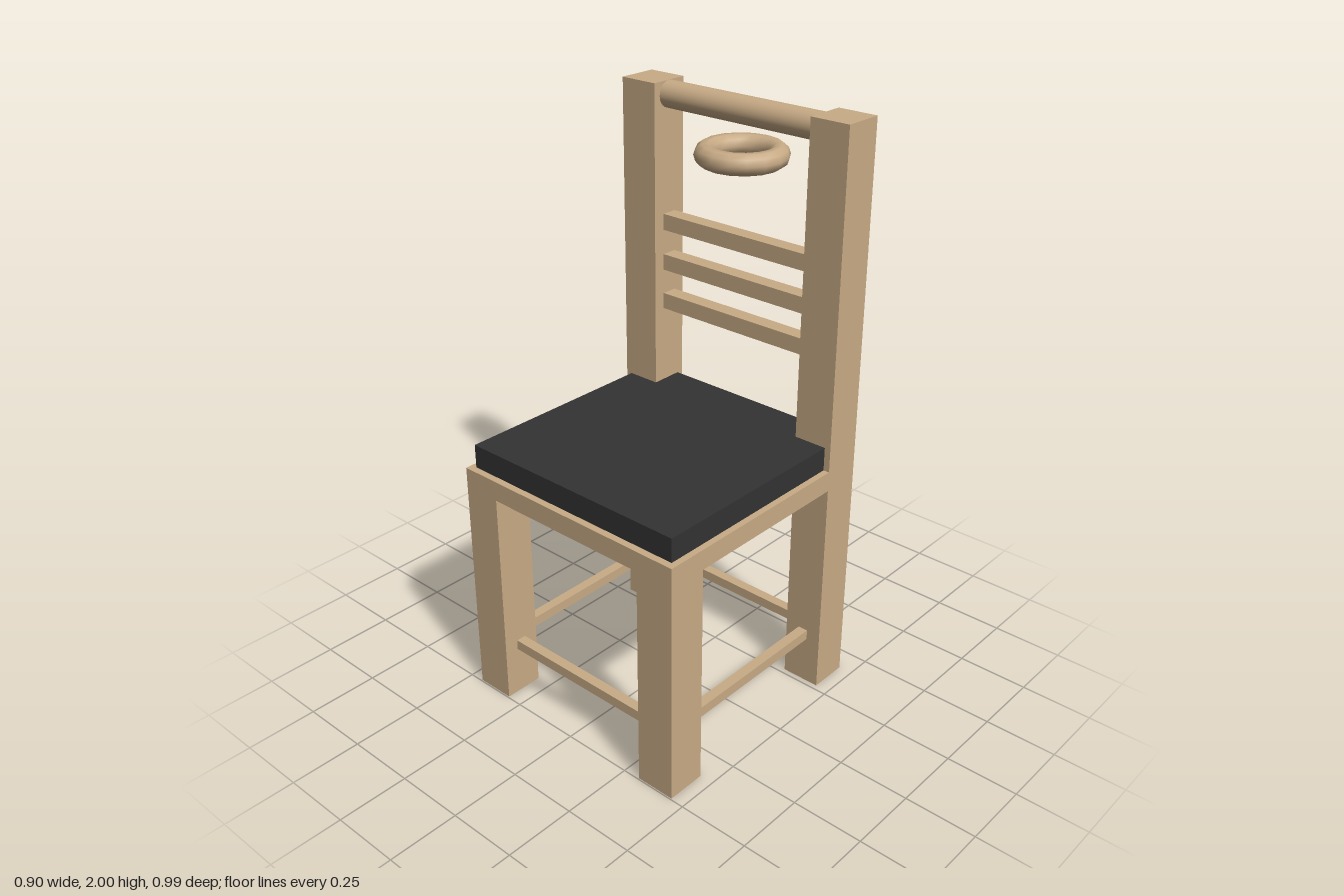
import * as THREE from 'three';

export function createModel() {
  const chair = new THREE.Group();
  chair.name = 'chair';
  const wood = new THREE.MeshStandardMaterial({ color: 0xc8ab86 });
  const fabric = new THREE.MeshStandardMaterial({ color: 0x333333 });

  const add = (name, geometry, x, y, z, material = wood) => {
    const mesh = new THREE.Mesh(geometry, material);
    mesh.name = name;
    mesh.position.set(x, y, z);
    chair.add(mesh);
    return mesh;
  };
  const box = (name, w, h, d, x, y, z, material) =>
    add(name, new THREE.BoxGeometry(w, h, d), x, y, z, material);

  const legX = 0.38, frontZ = 0.425, backZ = -0.34, leg = 0.14;
  const gapX = 2 * legX - leg, gapZ = frontZ - backZ - leg;
  const midZ = (frontZ + backZ) / 2;

  // Legs, with the back pair rising as posts, and side stretchers
  for (const [side, s] of [['left', 1], ['right', -1]]) {
    box(side + 'FrontLeg', leg, 0.86, leg, s * legX, 0.43, frontZ);
    box(side + 'BackPost', leg, 2, leg, s * legX, 1, backZ);
    box(side + 'Stretcher', 0.036, 0.036, gapZ, s * legX, 0.193, midZ);
  }

  // Front and back stretchers
  box('frontStretcher', gapX, 0.036, 0.036, 0, 0.193, frontZ);
  box('backStretcher', gapX, 0.036, 0.036, 0, 0.193, backZ);

  // Seat board and cushion
  box('seat', 0.9, 0.07, 0.905, 0, 0.825, midZ);
  box('cushion', 0.856, 0.085, 0.856, 0, 0.9, midZ, fabric);

  // Back slats
  [1.242, 1.384, 1.527].forEach((y, i) =>
    box('backSlat' + (i + 1), gapX, 0.056, 0.056, 0, y, backZ));

  // Round top rail and the ring below it
  add('topRail', new THREE.CylinderGeometry(0.045, 0.045, gapX, 24), 0, 1.955, backZ)
    .rotation.z = Math.PI / 2;
  add('ring', new THREE.TorusGeometry(0.119, 0.036, 10, 16), 0, 1.814, backZ)
    .rotation.x = Math.PI / 2;

  return chair;
}
